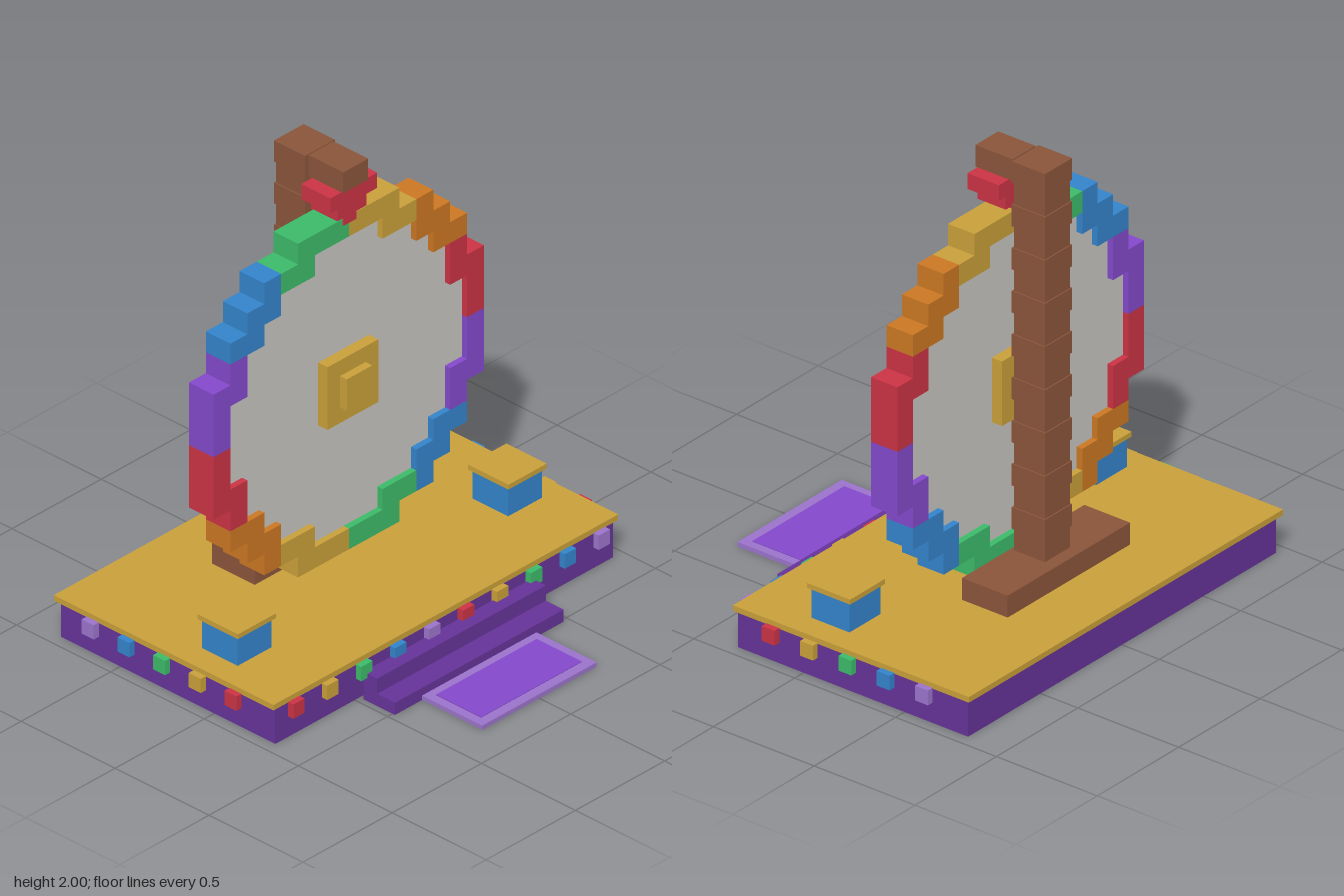
import * as THREE from 'three';

const colours = {
  gold: 0xc9a03a, brown: 0x8a553a, red: 0xcb3344, orange: 0xcb7722, green: 0x3cba69,
  blue: 0x3484cb, purple: 0x663399, lavender: 0x9b74cb, violet: 0x8349cb, grey: 0xc8c5c0,
};

export function createModel() {
  const model = new THREE.Group();
  model.name = 'prizeWheel';
  const mats = {};
  for (const [name, color] of Object.entries(colours)) {
    mats[name] = new THREE.MeshStandardMaterial({ color });
    mats[name].name = name;
  }
  mats.purple.side = THREE.DoubleSide; // the base is an open shell

  // Box given by its minimum and maximum on each axis
  function box(name, mat, x0, x1, y0, y1, z0, z1) {
    const geo = new THREE.BoxGeometry(x1 - x0, y1 - y0, z1 - z0);
    const mesh = new THREE.Mesh(geo, mats[mat]);
    mesh.position.set((x0 + x1) / 2, (y0 + y1) / 2, (z0 + z1) / 2);
    mesh.name = name;
    model.add(mesh);
    return mesh;
  }
  const centred = (name, mat, w, y0, y1, z0, z1) => box(name, mat, -w, w, y0, y1, z0, z1);

  // Stage: hollow base without a floor, and a thin deck
  const base = centred('base', 'purple', 0.945, 0, 0.164, -0.815, 0.325);
  const idx = Array.from(base.geometry.index.array);
  base.geometry.setIndex([...idx.slice(0, 18), ...idx.slice(24)]);
  base.geometry.clearGroups();
  centred('deck', 'gold', 0.965, 0.165, 0.19, -0.835, 0.335);

  // Coloured lights along the front and both sides
  const lights = ['red', 'gold', 'green', 'blue', 'lavender'];
  for (let i = 0; i < 10; i++) {
    const x = -0.855 + 0.19 * i;
    box('frontLight', lights[i % 5], x - 0.032, x + 0.032, 0.105, 0.17, 0.338, 0.366);
  }
  for (let i = 0; i < 5; i++) {
    const z = 0.135 - 0.19 * i;
    box('leftLight', lights[i], 0.967, 0.996, 0.105, 0.17, z - 0.032, z + 0.032);
    box('rightLight', lights[i], -0.996, -0.967, 0.105, 0.17, z - 0.032, z + 0.032);
  }

  // Front steps and entrance mat
  centred('lowerStep', 'purple', 0.472, 0, 0.055, 0.345, 0.513);
  centred('upperStep', 'purple', 0.472, 0.055, 0.124, 0.345, 0.418);
  centred('matBorder', 'lavender', 0.32, 0, 0.02, 0.513, 0.833);
  centred('matPanel', 'violet', 0.282, 0.02, 0.023, 0.55, 0.79);

  // Pedestals at the front corners
  for (const s of [-1, 1]) {
    const x = s * 0.757;
    box('pedestal', 'blue', x - 0.095, x + 0.095, 0.19, 0.322, -0.152, 0.037);
    box('pedestalCap', 'gold', x - 0.107, x + 0.107, 0.322, 0.344, -0.165, 0.05);
  }

  // Tower of stacked blocks with a foot and a top arm
  centred('towerFoot', 'brown', 0.376, 0.19, 0.286, -0.552, -0.325);
  for (let i = 0; i < 18; i++) {
    const y = 0.286 + i * 0.0952;
    const d = i % 2 ? 0.083 : 0.077;
    centred('towerBlock', 'brown', d, y, y + 0.0952, -0.418 - d, -0.418 + d);
  }
  centred('topArm', 'brown', 0.07, 1.905, 2, -0.33, -0.145);

  // Stepped pointer above the wheel
  centred('pointerTop', 'red', 0.131, 1.836, 1.905, -0.31, -0.155);
  centred('pointerMiddle', 'red', 0.082, 1.775, 1.836, -0.305, -0.165);
  centred('pointerTip', 'red', 0.035, 1.73, 1.775, -0.297, -0.175);

  // Wheel rim: one quarter in grid cells [x0, y0, x1, y1], mirrored round the hub
  const u = 0.0946, cy = 1;
  const segments = [
    [[0, 7, 3, 8], [2, 6, 4, 7]],
    [[4, 5, 5, 7], [5, 4, 6, 6], [6, 4, 7, 5]],
    [[6, 2, 7, 4], [7, 0, 8, 3]],
  ];
  const warm = ['gold', 'orange', 'red'], cool = ['green', 'blue', 'violet'];
  for (const sx of [-1, 1]) for (const sy of [-1, 1]) {
    const set = sx === sy ? warm : cool;
    segments.forEach((cells, i) => cells.forEach(([x0, y0, x1, y1]) => {
      const xs = [sx * x0 * u, sx * x1 * u].sort((a, b) => a - b);
      const ys = [cy + sy * y0 * u, cy + sy * y1 * u].sort((a, b) => a - b);
      box('wheelRim', set[i], xs[0], xs[1], ys[0], ys[1], -0.313, -0.182);
    }));
  }

  // Wheel face: stepped disc filling the rim
  const quarter = [[7, 2], [6, 2], [6, 4], [5, 4], [5, 5], [4, 5], [4, 6], [2, 6], [2, 7]];
  const back = [...quarter].reverse();
  const outline = [
    ...quarter, ...back.map(([x, y]) => [-x, y]),
    ...quarter.map(([x, y]) => [-x, -y]), ...back.map(([x, y]) => [x, -y]),
  ].map(([x, y]) => new THREE.Vector2(x * u, y * u));
  const face = new THREE.Mesh(
    new THREE.ExtrudeGeometry(new THREE.Shape(outline), { depth: 0.075, bevelEnabled: false }), mats.grey);
  face.position.set(0, cy, -0.285);
  face.name = 'wheelFace';
  model.add(face);

  // Hub
  centred('hub', 'gold', 0.142, 0.858, 1.142, -0.335, -0.16);
  centred('hubCap', 'gold', 0.071, 0.929, 1.071, -0.16, -0.124);

  return model;
}
